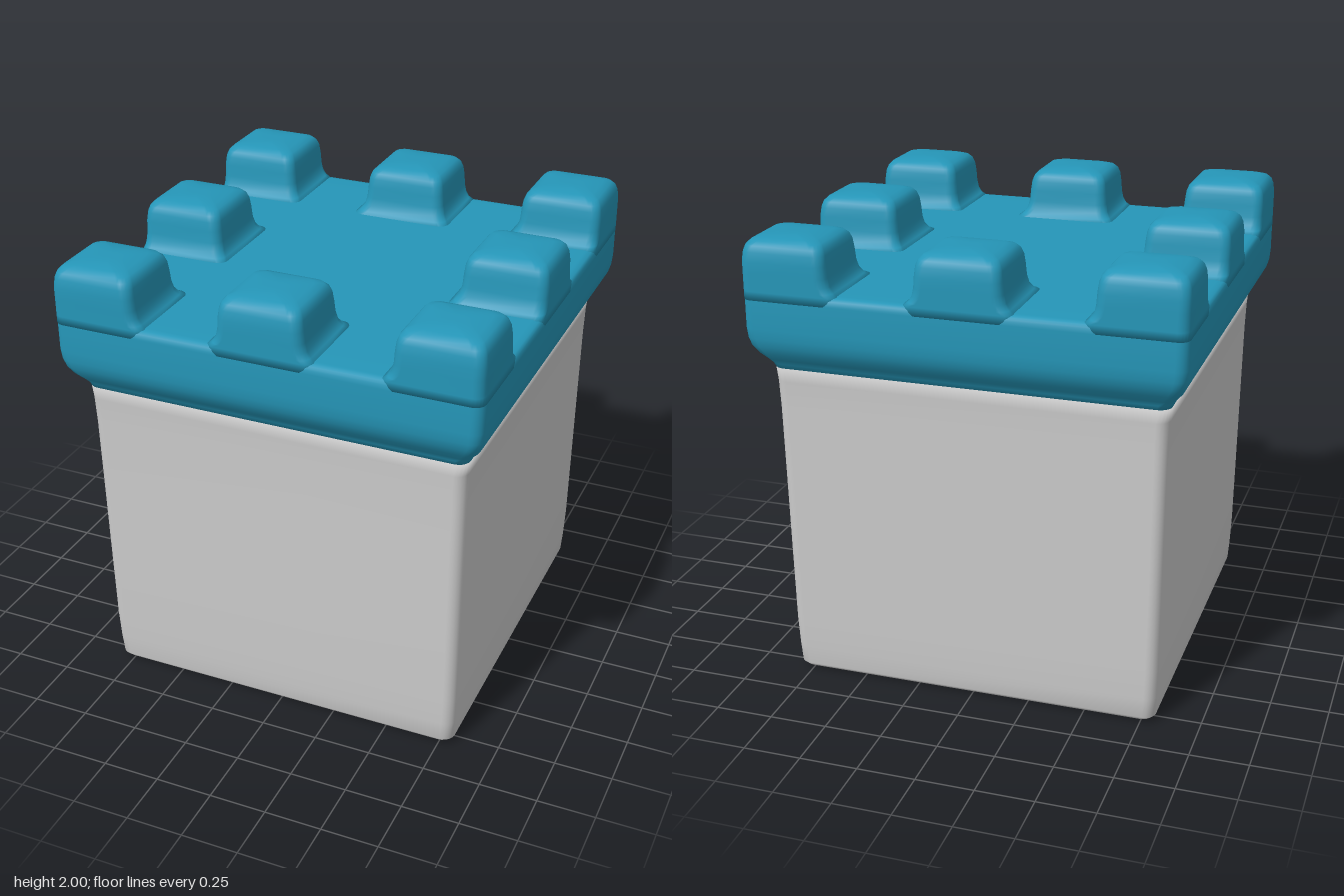
import * as THREE from 'three';

const HX = 0.925, HZ = 0.945; // outer half sizes of the battlement

// Closed skin through rounded rectangles; each ring is {x0, x1, z0, z1, y, r}
function loft(rings, steps = 5) {
  const pos = [], idx = [], n = 4 * (steps + 1);
  for (const { x0, x1, z0, z1, y, r } of rings) {
    const corners = [[x1 - r, z1 - r], [x0 + r, z1 - r], [x0 + r, z0 + r], [x1 - r, z0 + r]];
    corners.forEach(([cx, cz], c) => {
      for (let i = 0; i <= steps; i++) {
        const a = (c + i / steps) * Math.PI / 2;
        pos.push(cx + r * Math.cos(a), y, cz + r * Math.sin(a));
      }
    });
  }
  for (let k = 0; k < rings.length - 1; k++) {
    for (let i = 0; i < n; i++) {
      const a = k * n + i, b = k * n + (i + 1) % n;
      idx.push(a, a + n, b, b, a + n, b + n);
    }
  }
  // end caps
  const last = rings.length - 1;
  for (const k of [0, last]) {
    const { x0, x1, z0, z1, y } = rings[k];
    const centre = pos.length / 3;
    pos.push((x0 + x1) / 2, y, (z0 + z1) / 2);
    for (let i = 0; i < n; i++) {
      const a = k * n + i, b = k * n + (i + 1) % n;
      if (k === 0) idx.push(centre, a, b);
      else idx.push(centre, b, a);
    }
  }
  const geo = new THREE.BufferGeometry();
  geo.setAttribute('position', new THREE.Float32BufferAttribute(pos, 3));
  geo.setIndex(idx);
  geo.computeVertexNormals();
  return geo;
}

// Centred ring, slightly deeper in z than in x
const ring = (h, y, r = 0.05) => ({ x0: -h, x1: h, z0: -h - 0.02, z1: h + 0.02, y, r });

function addMesh(group, name, geometry, material) {
  const mesh = new THREE.Mesh(geometry, material);
  mesh.name = name;
  group.add(mesh);
}

// Tooth with a flared foot and softened top, clipped to the outer wall
function merlon(cx, cz) {
  const half = 0.183;
  const profile = [
    [0.04, 1.74], [0.05, 1.777], [0.028, 1.79], [0.012, 1.815], [0.004, 1.85], [0, 1.9],
    [-0.005, 1.94], [-0.014, 1.965], [-0.03, 1.982], [-0.06, 1.992], [-0.11, 1.999], [-0.15, 2],
  ];
  return loft(profile.map(([d, y]) => ({
    x0: Math.max(cx - half - d, -HX), x1: Math.min(cx + half + d, HX),
    z0: Math.max(cz - half - d, -HZ), z1: Math.min(cz + half + d, HZ),
    y, r: Math.min(0.045, half + d - 0.005),
  })));
}

export function createModel() {
  const model = new THREE.Group();
  model.name = 'castleTower';
  const stone = new THREE.MeshStandardMaterial({ color: 0xcccccc });
  const blue = new THREE.MeshStandardMaterial({ color: 0x2596b8 });

  // Slightly tapering tower body
  addMesh(model, 'towerBody', loft([
    ring(0.70, 0), ring(0.77, 0.005), ring(0.797, 0.014), ring(0.81, 0.03), ring(0.816, 0.12),
    ring(0.821, 0.25), ring(0.825, 0.55), ring(0.83, 0.95), ring(0.834, 1.25),
    ring(0.838, 1.37), ring(0.843, 1.43),
  ]), stone);

  // Overhanging battlement with its flat deck
  addMesh(model, 'battlement', loft([
    ring(0.80, 1.43), ring(0.843, 1.43), ring(0.85, 1.45), ring(0.867, 1.473), ring(0.893, 1.505),
    ring(0.912, 1.54), ring(0.921, 1.575), ring(0.925, 1.62), ring(0.925, 1.74),
    ring(0.921, 1.763), ring(0.91, 1.775), ring(0.885, 1.78), ring(0.75, 1.78),
  ]), blue);

  // Eight merlons around the rim
  const merlons = new THREE.Group();
  merlons.name = 'merlons';
  for (const i of [-1, 0, 1]) {
    for (const j of [-1, 0, 1]) {
      if (i || j) addMesh(merlons, 'merlon', merlon(i * (HX - 0.183), j * (HZ - 0.183)), blue);
    }
  }
  model.add(merlons);
  return model;
}
